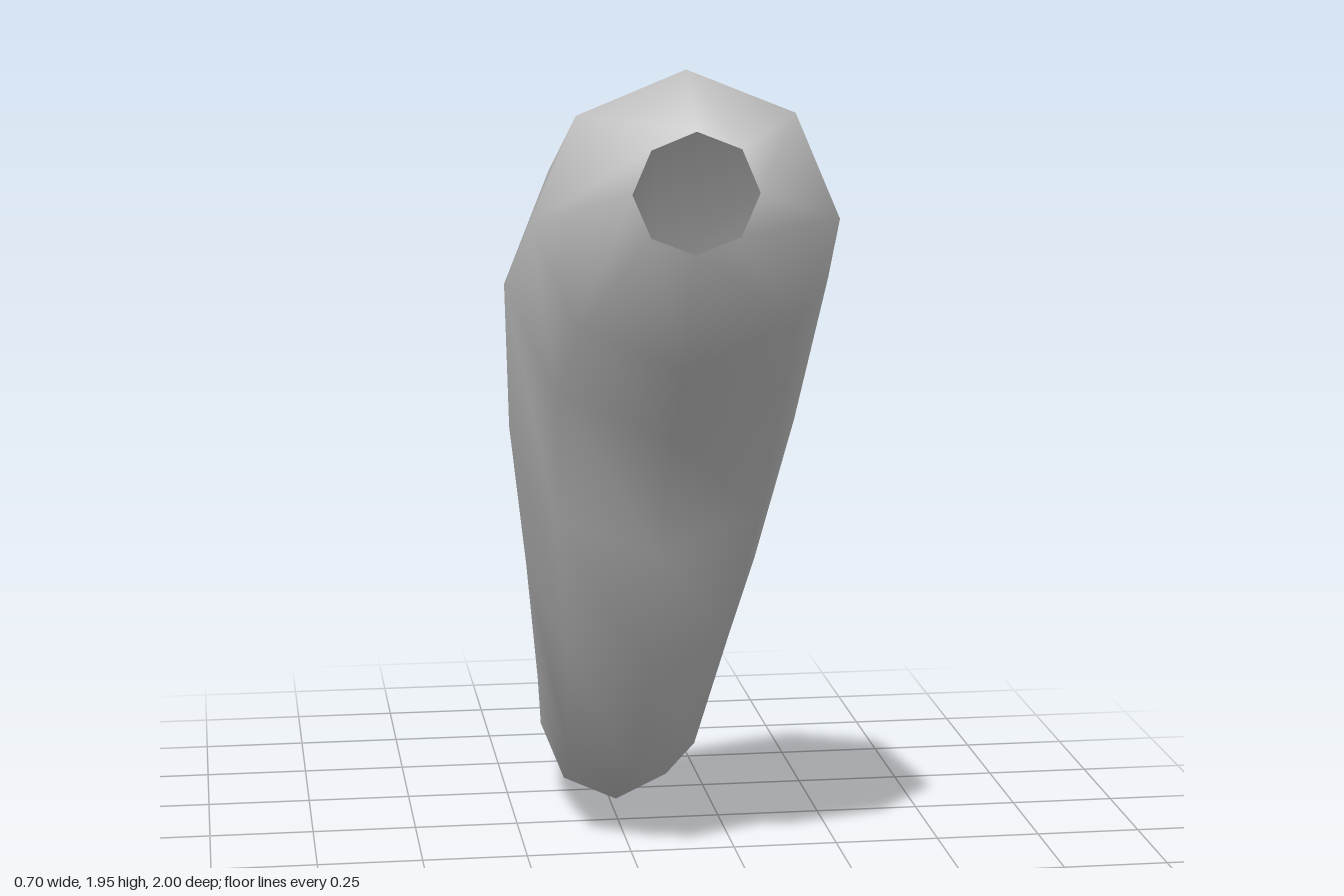
import * as THREE from 'three';

// Cross-sections from the open root to the tip:
// [top z, top y, bottom z, bottom y, half width]
const SECTIONS = [
  [1.0, 1.84, 1.0, 1.59, 0.13],
  [0.85, 1.95, 0.87, 1.33, 0.32],
  [0.49, 1.8, 0.68, 1.15, 0.35],
  [0.21, 1.39, 0.51, 0.85, 0.32],
  [0.02, 0.98, 0.32, 0.535, 0.265],
  [-0.18, 0.64, 0.03, 0.2, 0.215],
  [-0.4, 0.41, -0.29, 0.04, 0.18],
  [-0.66, 0.265, -0.64, 0.0, 0.13],
  [-0.92, 0.17, -0.93, 0.03, 0.075],
  [-0.985, 0.13, -0.995, 0.055, 0.038],
];
const SIDES = 8;

function loftTail() {
  const positions = [];
  const index = [];

  // Eight-sided rings, starting at the top and going round by +x
  for (const [tz, ty, bz, by, w] of SECTIONS) {
    for (let j = 0; j < SIDES; j++) {
      const a = (j / SIDES) * Math.PI * 2;
      const c = Math.cos(a) / 2;
      positions.push(
        Math.sin(a) * w,
        (ty + by) / 2 + c * (ty - by),
        (tz + bz) / 2 + c * (tz - bz),
      );
    }
  }

  // Skin between neighbouring rings
  for (let i = 0; i < SECTIONS.length - 1; i++) {
    for (let j = 0; j < SIDES; j++) {
      const k = (j + 1) % SIDES;
      const a = i * SIDES + j, b = i * SIDES + k;
      const c = a + SIDES, d = b + SIDES;
      index.push(a, b, c, b, d, c);
    }
  }

  // Rounded tip closes the thin end; the root stays open
  const tip = positions.length / 3;
  const last = tip - SIDES;
  positions.push(0, 0.09, -1);
  for (let j = 0; j < SIDES; j++) {
    index.push(last + j, last + ((j + 1) % SIDES), tip);
  }

  const geometry = new THREE.BufferGeometry();
  geometry.setAttribute('position', new THREE.Float32BufferAttribute(positions, 3));
  geometry.setIndex(index);
  geometry.computeVertexNormals();
  return geometry;
}

export function createModel() {
  const group = new THREE.Group();
  group.name = 'tailModel';
  const material = new THREE.MeshStandardMaterial({ color: 0xcccccc, side: THREE.DoubleSide });
  const tail = new THREE.Mesh(loftTail(), material);
  tail.name = 'tail';
  group.add(tail);
  return group;
}
